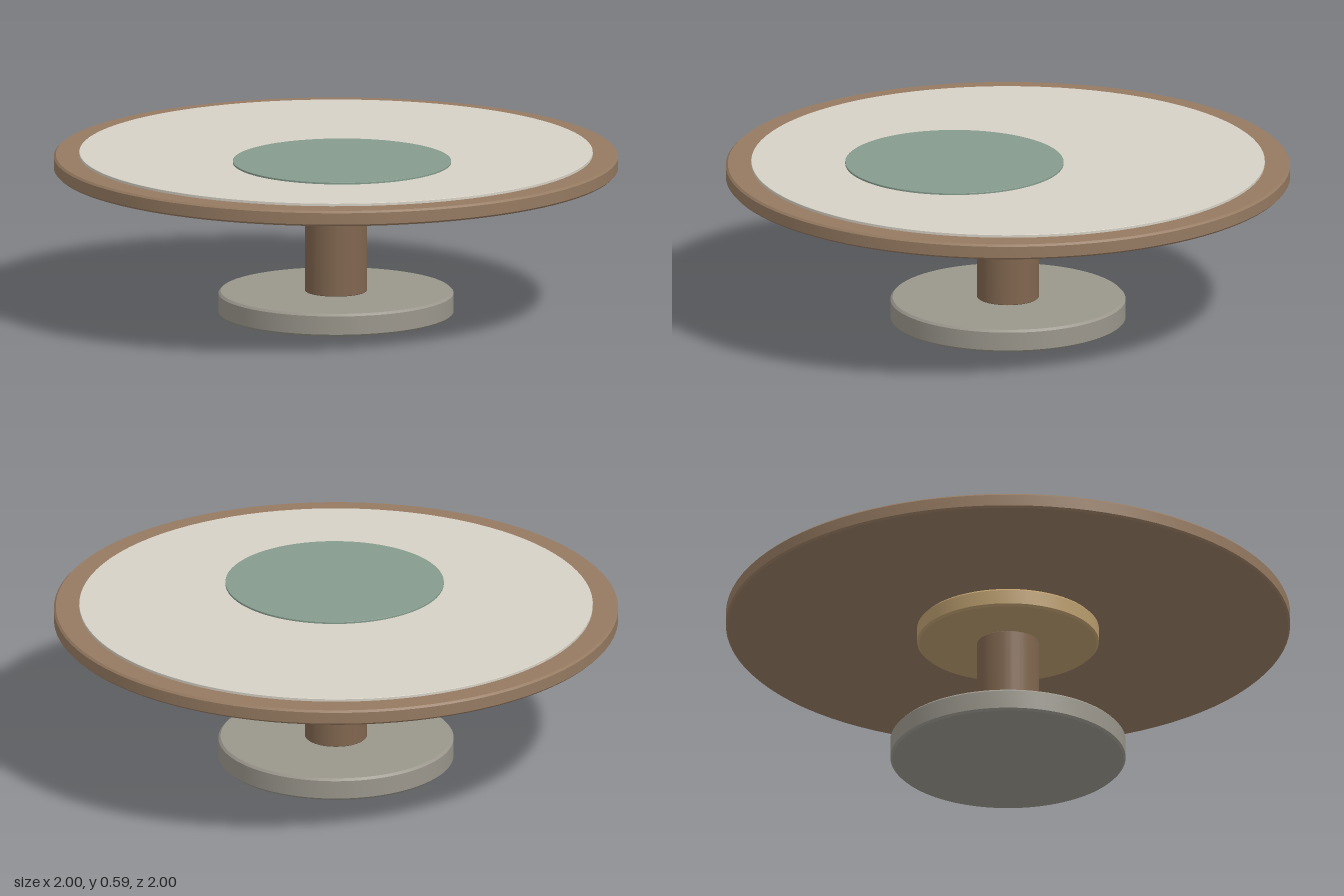
import * as THREE from 'three';
import { toCreasedNormals } from 'three/addons/utils/BufferGeometryUtils.js';

// Solid round slab from y0 to y1 with a small bevel on both rims
function disc(name, radius, y0, y1, bevel, color, z = 0) {
  const profile = [
    [0, y0], [radius - bevel, y0], [radius, y0 + bevel],
    [radius, y1 - bevel], [radius - bevel, y1], [0, y1],
  ].map(([x, y]) => new THREE.Vector2(x, y));
  const geometry = toCreasedNormals(new THREE.LatheGeometry(profile, 96), Math.PI / 6);
  const mesh = new THREE.Mesh(geometry, new THREE.MeshStandardMaterial({ color }));
  mesh.name = name;
  mesh.position.z = z;
  return mesh;
}

export function createModel() {
  const table = new THREE.Group();
  table.name = 'pedestalTable';
  table.add(
    // Pedestal
    disc('base', 0.417, 0, 0.082, 0.008, 0x9a968c),
    disc('column', 0.11, 0.082, 0.452, 0.002, 0x80664f),
    disc('collar', 0.322, 0.452, 0.52, 0.008, 0xb99c6d),
    // Table top with its raised inlay and off-centre mat
    disc('tableTop', 1, 0.52, 0.575, 0.007, 0x957a61),
    disc('inlay', 0.91, 0.57, 0.585, 0.001, 0xd6d1c5),
    disc('mat', 0.387, 0.58, 0.592, 0.001, 0x859b8d, 0.193),
  );
  return table;
}
